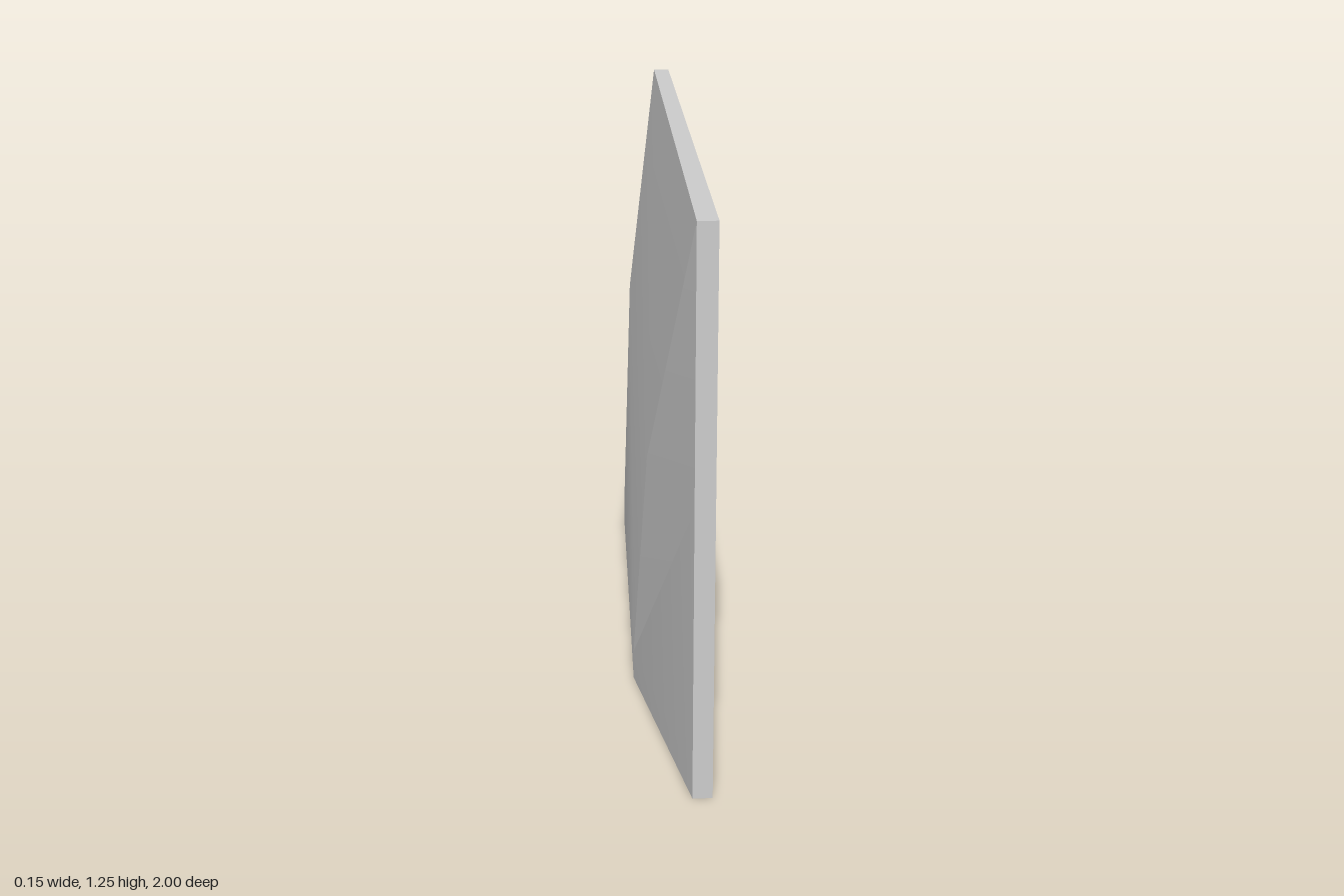
import * as THREE from 'three';
import { toCreasedNormals } from 'three/addons/utils/BufferGeometryUtils.js';

const FRONT = 0.076, SEAM = 0.033, HEIGHT = 1.25;
const grey = new THREE.MeshStandardMaterial({ color: 0xcccccc });

function add(group, name, geometry) {
  const mesh = new THREE.Mesh(geometry, grey);
  mesh.name = name;
  group.add(mesh);
  return mesh;
}

// Rectangle in the (z, y) plane, as a shape or a hole
function rect(Type, z0, z1, y0, y1) {
  const p = new Type();
  p.moveTo(z0, y0);
  p.lineTo(z1, y0);
  p.lineTo(z1, y1);
  p.lineTo(z0, y1);
  p.closePath();
  return p;
}

// Box spanning x0..x1, y0..y1, z0..z1
function block(x0, x1, y0, y1, z0, z1) {
  return new THREE.BoxGeometry(x1 - x0, y1 - y0, z1 - z0)
    .translate((x0 + x1) / 2, (y0 + y1) / 2, (z0 + z1) / 2);
}

// Bulging shell lofted from rows of [y, depth x, half width of the flat middle]
function shellGeometry() {
  const rows = [
    [HEIGHT, SEAM, 0.95],
    [0.66, -0.051, 0.7],
    [0.07, -FRONT, 0.47],
    [0, -FRONT, 0.47],
  ];
  const positions = [], index = [];
  for (const [y, x, z] of rows) {
    positions.push(SEAM, y, -1, x, y, -z, x, y, z, SEAM, y, 1);
  }
  for (let r = 0; r < rows.length - 1; r++) {
    for (let c = 0; c < 3; c++) {
      const a = r * 4 + c, b = a + 1, d = a + 4, e = a + 5;
      // mirrored diagonals on the two flanks
      if (c === 2) index.push(a, d, b, b, d, e);
      else index.push(a, d, e, a, e, b);
    }
  }
  // flat underside
  const u = (rows.length - 1) * 4;
  index.push(u, u + 3, u + 2, u, u + 2, u + 1);

  const g = new THREE.BufferGeometry();
  g.setAttribute('position', new THREE.Float32BufferAttribute(positions, 3));
  g.setIndex(index);
  return toCreasedNormals(g, 0.24);
}

export function createModel() {
  const model = new THREE.Group();
  model.name = 'flatDisplay';

  // Bezel with the screen opening and two shallow button slots
  const outline = rect(THREE.Shape, -1, 1, 0, HEIGHT);
  outline.holes.push(rect(THREE.Path, -0.95, 0.95, 0.09, 1.22));
  for (const s of [-1, 1]) {
    outline.holes.push(rect(THREE.Path, s * 0.11 - 0.09, s * 0.11 + 0.09, 0.02, 0.04));
  }
  const bezel = new THREE.ExtrudeGeometry(outline, { depth: FRONT - SEAM, bevelEnabled: false });
  bezel.rotateY(Math.PI / 2).translate(SEAM, 0, 0);
  add(model, 'bezel', bezel);

  // Recessed screen
  add(model, 'screen', block(SEAM, 0.045, 0.09, 1.22, -0.95, 0.95));

  // Buttons filling the slots, slightly below the bezel face
  for (const s of [-1, 1]) {
    add(model, s > 0 ? 'leftButton' : 'rightButton',
      block(SEAM, FRONT - 0.006, 0.02, 0.04, s * 0.11 - 0.09, s * 0.11 + 0.09));
  }

  // Tapered rear housing
  add(model, 'backShell', shellGeometry());

  return model;
}
